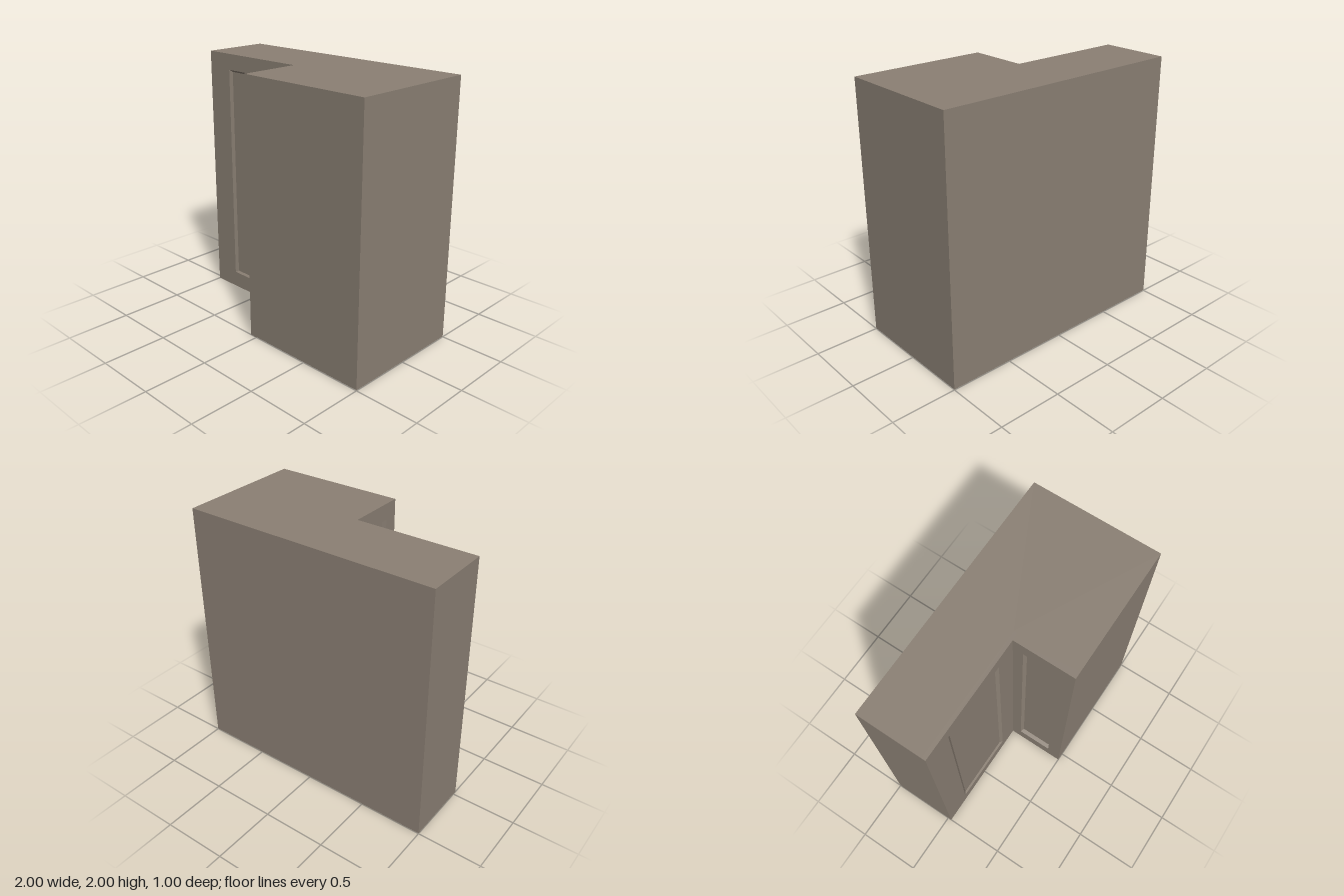
import * as THREE from 'three';

const material = new THREE.MeshStandardMaterial({ color: 0x8b8074, flatShading: true });

// Rectangle corners, counter-clockwise seen from +z
const ring = (x0, x1, y0, y1, z) => [[x0, y0, z], [x1, y0, z], [x1, y1, z], [x0, y1, z]];

// Slab with a sunken field in its front face and sloping edges around the field
function panelDoor({ width, thickness, fieldX, fieldWidth, slope, depth }) {
  const w = width / 2, f = fieldWidth / 2, s = slope;
  const rings = [
    ring(-w, w, 0, 2, 0),
    ring(-w, w, 0, 2, thickness),
    ring(fieldX - f, fieldX + f, 0.13, 1.875, thickness),
    ring(fieldX - f + s, fieldX + f - s, 0.145, 1.86, thickness - depth),
  ];
  const positions = [];
  const quad = (a, b, c, d) => positions.push(...a, ...b, ...c, ...a, ...c, ...d);
  for (let r = 0; r < 3; r++) {
    for (let i = 0; i < 4; i++) {
      const j = (i + 1) % 4;
      quad(rings[r][i], rings[r][j], rings[r + 1][j], rings[r + 1][i]);
    }
  }
  quad(...rings[3]); // field floor
  quad(...[...rings[0]].reverse()); // back
  const geometry = new THREE.BufferGeometry();
  geometry.setAttribute('position', new THREE.Float32BufferAttribute(positions, 3));
  geometry.computeVertexNormals();
  return new THREE.Mesh(geometry, material);
}

export function createModel() {
  const group = new THREE.Group();
  group.name = 'cornerCabinet';

  // L-shaped carcass, a hair above the door bottoms
  const plan = [[-1, -0.5], [1, -0.5], [1, 0.5], [0, 0.5], [0, 0], [-1, 0]];
  const shape = new THREE.Shape(plan.map(([x, z]) => new THREE.Vector2(x, -z)));
  const body = new THREE.ExtrudeGeometry(shape, { depth: 1.996, bevelEnabled: false });
  body.rotateX(-Math.PI / 2).translate(0, 0.004, 0);
  const carcass = new THREE.Mesh(body, material);
  carcass.name = 'carcass';

  // Door facing forward, running into the inner corner
  const frontDoor = panelDoor({
    width: 1, thickness: 0.03, fieldX: 0, fieldWidth: 0.56, slope: 0.025, depth: 0.015,
  });
  frontDoor.name = 'frontDoor';
  frontDoor.position.set(-0.5, 0, 0);

  // Door facing sideways into the notch
  const sideDoor = panelDoor({
    width: 0.47, thickness: 0.06, fieldX: -0.015, fieldWidth: 0.28, slope: 0.0125, depth: 0.03,
  });
  sideDoor.name = 'sideDoor';
  sideDoor.rotation.y = -Math.PI / 2;
  sideDoor.position.set(0, 0, 0.265);

  group.add(carcass, frontDoor, sideDoor);
  return group;
}
